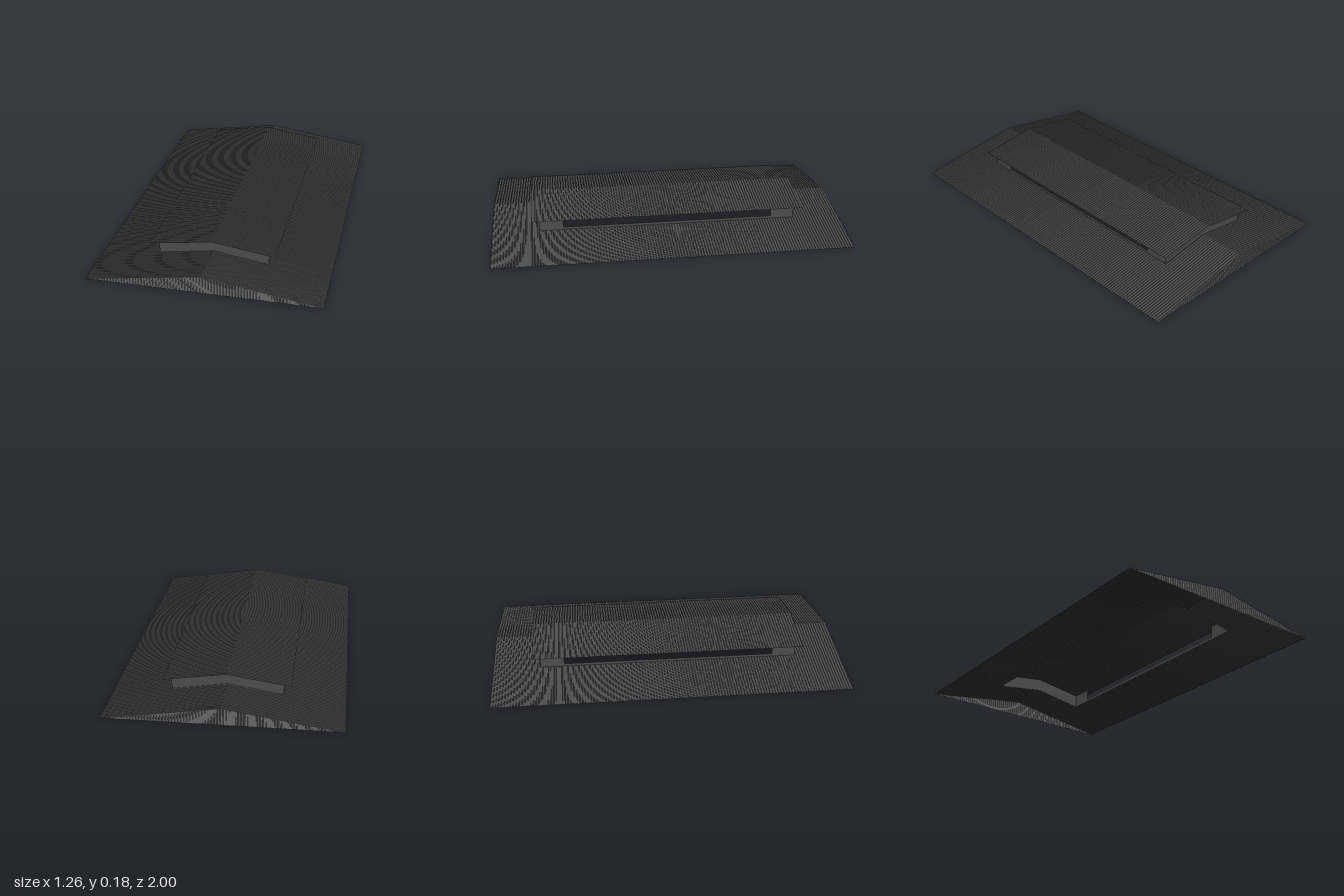
import * as THREE from 'three';

const PITCH = 1 / 64, RIB = 0.003;
const material = (color) => new THREE.MeshStandardMaterial({ color, flatShading: true, side: THREE.DoubleSide });
const roofMat = material(0x4c4c4c), wallMat = material(0x4c4c4c), gableMat = material(0x666666);

// Roof heights at the flat of the sheet
const mainY = (x) => 0.097 * (1 - Math.abs(x) / 0.63);
const topY = (x) => 0.174 - 0.05 * Math.abs(x) / 0.34;

// Trapezoidal corrugation between u0 and u1; lo and hi give the two ends of each fold line
function corrugated(name, mat, u0, u1, lo, hi) {
  const profile = [];
  const count = Math.round((u1 - u0) / PITCH), step = (u1 - u0) / count;
  for (let i = 0; i < count; i++) {
    for (const [f, h] of [[0, 0], [0.6, 0], [0.68, RIB], [0.92, RIB]]) profile.push([u0 + (i + f) * step, h]);
  }
  profile.push([u1, 0]);
  const positions = [], index = [];
  profile.forEach(([u, h], i) => {
    positions.push(...lo(u, h), ...hi(u, h));
    if (i) {
      const k = 2 * i;
      index.push(k - 2, k, k - 1, k, k + 1, k - 1);
    }
  });
  const geometry = new THREE.BufferGeometry();
  geometry.setAttribute('position', new THREE.Float32BufferAttribute(positions, 3));
  geometry.setIndex(index);
  geometry.computeVertexNormals();
  const mesh = new THREE.Mesh(geometry, mat);
  mesh.name = name;
  return mesh;
}

// Roof slope on one side, ribs running down from x = inner to x = outer
const slope = (name, side, inner, outer, z0, z1, y) => corrugated(name, roofMat, z0, z1,
  (z, h) => [side * outer, y(outer) + h, z],
  (z, h) => [side * inner, y(inner) + h, z]);

function box(name, w, h, d, x, y, z) {
  const mesh = new THREE.Mesh(new THREE.BoxGeometry(w, h, d), wallMat);
  mesh.position.set(x, y, z);
  mesh.name = name;
  return mesh;
}

export function createModel() {
  const model = new THREE.Group();
  model.name = 'ventedRoof';

  for (const side of [-1, 1]) {
    // Main roof, left open under the raised vent
    model.add(slope('mainRoofFront', side, 0, 0.63, 0.735, 1, mainY));
    model.add(slope('mainRoofBack', side, 0, 0.63, -1, -0.735, mainY));
    model.add(slope('mainRoofMiddle', side, 0.3, 0.63, -0.735, 0.735, mainY));

    // Raised vent roof
    model.add(slope('ventRoof', side, 0, 0.34, -0.778, 0.778, topY));

    // Low curb below the side opening, and closed corner panels
    model.add(box('ventCurb', 0.004, 0.018, 1.47, side * 0.298, 0.058, 0));
    for (const end of [-1, 1]) {
      model.add(box('ventCornerPanel', 0.004, 0.08, 0.135, side * 0.298, 0.089, end * 0.6675));
    }
  }

  // Chevron end wall of the vent
  const chevron = new THREE.Shape([
    [-0.3, mainY(0.3)], [0, mainY(0)], [0.3, mainY(0.3)],
    [0.3, topY(0.3)], [0, topY(0)], [-0.3, topY(0.3)],
  ].map(([x, y]) => new THREE.Vector2(x, y)));
  const endGeometry = new THREE.ExtrudeGeometry(chevron, { depth: 0.004, bevelEnabled: false });

  for (const end of [-1, 1]) {
    const wall = new THREE.Mesh(endGeometry, wallMat);
    wall.position.z = end * 0.733 - 0.002;
    wall.name = 'ventEndWall';
    model.add(wall);

    // Corrugated gable closing each end of the main roof
    model.add(corrugated('gable', gableMat, -0.63, 0.63,
      (x, h) => [x, 0, end * (0.997 + h)],
      (x, h) => [x, mainY(x), end * (0.997 + h)]));
  }
  return model;
}
